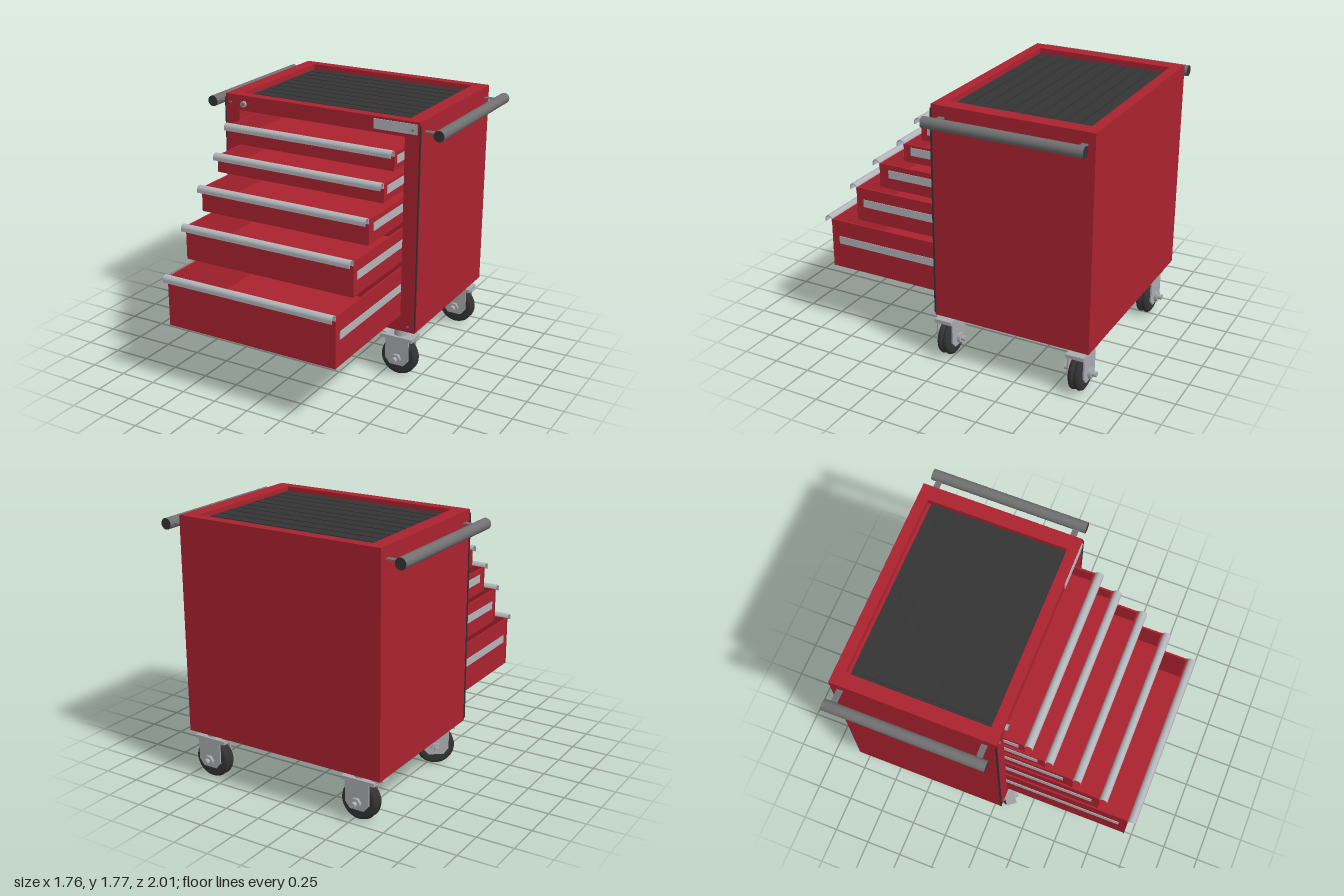
import * as THREE from 'three';

const mat = (name, color) => {
  const m = new THREE.MeshStandardMaterial({ color });
  m.name = name;
  return m;
};

export function createModel() {
  const red = mat('red paint', 0xab222f);
  const dark = mat('black rubber', 0x343434);
  const tube = mat('grey tube', 0x707070);
  const silver = mat('silver', 0xb2b5b9);
  const steel = mat('steel', 0xa9abae);

  const root = new THREE.Group();
  root.name = 'toolTrolley';

  const add = (parent, name, geometry, material) => {
    const m = new THREE.Mesh(geometry, material);
    m.name = name;
    parent.add(m);
    return m;
  };
  // box given by its min and max on each axis
  const box = (parent, name, material, x0, x1, y0, y1, z0, z1) =>
    add(parent, name, new THREE.BoxGeometry(x1 - x0, y1 - y0, z1 - z0)
      .translate((x0 + x1) / 2, (y0 + y1) / 2, (z0 + z1) / 2), material);
  // flat rectangular frame: outer and hole given as [x0, x1, y0, y1]
  const frame = ([a, b, c, d], [e, f, g, h], depth) => {
    const s = new THREE.Shape().moveTo(a, c).lineTo(b, c).lineTo(b, d).lineTo(a, d).closePath();
    s.holes.push(new THREE.Path().moveTo(e, g).lineTo(e, h).lineTo(f, h).lineTo(f, g).closePath());
    return new THREE.ExtrudeGeometry(s, { depth, bevelEnabled: false });
  };

  // Cabinet shell
  const cabinet = new THREE.Group();
  cabinet.name = 'cabinet';
  root.add(cabinet);
  const W = 0.725, BACK = -1, FRONT = 0.085, Y0 = 0.33, Y1 = 1.775;
  add(cabinet, 'frontFrame', frame([-W, W, Y0, Y1], [-0.62, 0.62, 0.43, 1.67], 0.02), red)
    .position.z = FRONT - 0.02;
  const rim = add(cabinet, 'topRim', frame([-W, W, -0.065, 1], [-0.63, 0.625, -0.015, 0.93], 0.045), red);
  rim.rotation.x = -Math.PI / 2;
  rim.position.y = Y1 - 0.045;
  box(cabinet, 'topFloor', red, -0.71, 0.71, 1.71, 1.73, -0.985, 0.065);
  box(cabinet, 'bottomPanel', red, -0.71, 0.71, Y0, Y0 + 0.02, -0.985, 0.065);
  box(cabinet, 'backPanel', red, -W, W, Y0, 1.73, BACK, -0.985);
  for (const s of [-1, 1]) {
    box(cabinet, 'sidePanel', red, Math.min(s * W, s * 0.71), Math.max(s * W, s * 0.71), Y0, 1.73, -0.985, 0.065);
    box(cabinet, 'edgeSeal', dark, s * 0.7265 - 0.0035, s * 0.7265 + 0.0035, 0.35, 1.75, 0.078, 0.09);
  }

  // Ribbed mat in the top recess
  box(root, 'topMat', dark, -0.63, 0.622, 1.73, 1.738, -0.905, 0.012);
  for (let i = 0; i < 10; i++) {
    const z = -0.917 + i * 0.0928;
    box(root, 'matRib', dark, -0.6, 0.622, 1.738, 1.746, Math.max(z + 0.006, -0.905), Math.min(z + 0.0868, 0.01));
  }

  // Front fittings: name plate, lock, screws
  box(root, 'blankPlate', silver, 0.4, 0.705, 1.693, 1.76, FRONT, FRONT + 0.006);
  const disc = (name, x, y, r, len, material) => {
    const g = new THREE.CylinderGeometry(r, r, len, 16).rotateX(Math.PI / 2);
    add(root, name, g, material).position.set(x, y, FRONT + len / 2);
  };
  disc('lock', -0.58, 1.717, 0.021, 0.016, steel);
  disc('lockCore', -0.58, 1.717, 0.011, 0.02, tube);
  for (const x of [-0.685, 0.675]) for (const y of [0.37, 1.72]) disc('screw', x, y, 0.008, 0.01, tube);

  // Drawers: bottom, top, front z, rail bottom, rail front z
  const drawers = [
    [1.48, 1.60, 0.22, 1.52, 0.18],
    [1.312, 1.43, 0.355, 1.36, 0.305],
    [1.096, 1.262, 0.545, 1.172, 0.48],
    [0.824, 1.056, 0.735, 0.925, 0.685],
    [0.436, 0.78, 0.95, 0.612, 0.895],
  ];
  // hooked grip profile, x = forward, y = up
  const grip = new THREE.Shape();
  grip.moveTo(0.053, -0.024).lineTo(0.053, -0.005);
  grip.absarc(0.026, -0.005, 0.027, 0, Math.PI, false);
  grip.lineTo(-0.001, -0.024).lineTo(0.005, -0.024).lineTo(0.005, -0.005);
  grip.absarc(0.026, -0.005, 0.021, Math.PI, 0, true);
  grip.lineTo(0.047, -0.024).closePath();
  const gripGeo = new THREE.ExtrudeGeometry(grip, { depth: 1.236, bevelEnabled: false, curveSegments: 12 })
    .rotateY(-Math.PI / 2).translate(0.618, 0, 0);
  const D = 0.615, T = 0.012;
  for (const [b, t, zf, rb, rz] of drawers) {
    const d = new THREE.Group();
    d.name = 'drawer';
    root.add(d);
    const zb = zf - 0.99;
    box(d, 'drawerFront', red, -0.618, 0.618, b, t, zf - T, zf);
    box(d, 'drawerBack', red, -D, D, b, t, zb, zb + T);
    box(d, 'drawerBottom', red, -D, D, b, b + T, zb + T, zf - T);
    for (const s of [-1, 1]) {
      box(d, 'drawerSide', red, s * (D - T / 2) - T / 2, s * (D - T / 2) + T / 2, b + T, t, zb + T, zf - T);
      box(d, 'drawerRail', silver, s * 0.617 - 0.002, s * 0.617 + 0.002, rb, rb + 0.054, zb + 0.05, rz);
    }
    // profile x maps to +z after the turn
    add(d, 'drawerGrip', gripGeo, silver).position.set(0, t + 0.001, zf);
  }

  // Side push bars
  for (const s of [-1, 1]) {
    const bar = new THREE.CylinderGeometry(0.037, 0.037, 1.06, 24).rotateX(Math.PI / 2);
    const m = add(root, 'pushBar', bar, [tube, dark, dark]);
    m.position.set(s * 0.845, 1.7, -0.46);
    for (const z of [-0.935, 0.008])
      box(root, 'pushBarBracket', tube, Math.min(s * 0.72, s * 0.84), Math.max(s * 0.72, s * 0.84), 1.696, 1.704, z - 0.02, z + 0.02);
  }

  // Casters: axle along z, brake pedal towards -x
  const tyre = [[0.05, -0.04], [0.105, -0.043], [0.122, -0.034], [0.128, -0.02], [0.122, -0.006], [0.108, 0],
    [0.122, 0.006], [0.128, 0.02], [0.122, 0.034], [0.105, 0.043], [0.05, 0.04]];
  const wheelGeo = new THREE.LatheGeometry(tyre.map(p => new THREE.Vector2(...p)), 32).rotateX(Math.PI / 2);
  const cheek = new THREE.Shape().moveTo(-0.085, 0.265).lineTo(-0.085, 0.12).lineTo(-0.05, 0.078)
    .lineTo(0.05, 0.078).lineTo(0.085, 0.12).lineTo(0.085, 0.265).closePath();
  const cheekGeo = new THREE.ExtrudeGeometry(cheek, { depth: 0.01, bevelEnabled: false });
  const caster = (x, z, turn) => {
    const c = new THREE.Group();
    c.name = 'caster';
    c.position.set(x, 0, z);
    c.rotation.y = turn;
    root.add(c);
    add(c, 'wheel', wheelGeo, dark).position.y = 0.128;
    add(c, 'axle', new THREE.CylinderGeometry(0.018, 0.018, 0.22, 12).rotateX(Math.PI / 2), steel).position.y = 0.128;
    for (const s of [-1, 1]) {
      add(c, 'forkCheek', cheekGeo, steel).position.z = s * 0.055 - 0.005;
      add(c, 'axleNut', new THREE.CylinderGeometry(0.037, 0.037, 0.022, 6).rotateY(Math.PI / 6).rotateX(Math.PI / 2), steel)
        .position.set(0, 0.128, s * 0.071);
    }
    box(c, 'forkTop', steel, -0.125, 0.11, 0.262, 0.286, -0.062, 0.062);
    add(c, 'swivelStem', new THREE.CylinderGeometry(0.045, 0.045, 0.05, 20), steel).position.y = 0.308;
    const pedal = box(c, 'brakePedal', steel, -0.05, 0.05, -0.009, 0.009, -0.035, 0.035);
    pedal.position.set(-0.125, 0.29, 0);
    pedal.rotation.z = -0.3;
  };
  caster(0.605, 0.04, 0);
  caster(0.605, -0.9, 0);
  caster(-0.535, -0.9, 0);
  caster(-0.535, 0.04, 0.63);

  return root;
}
